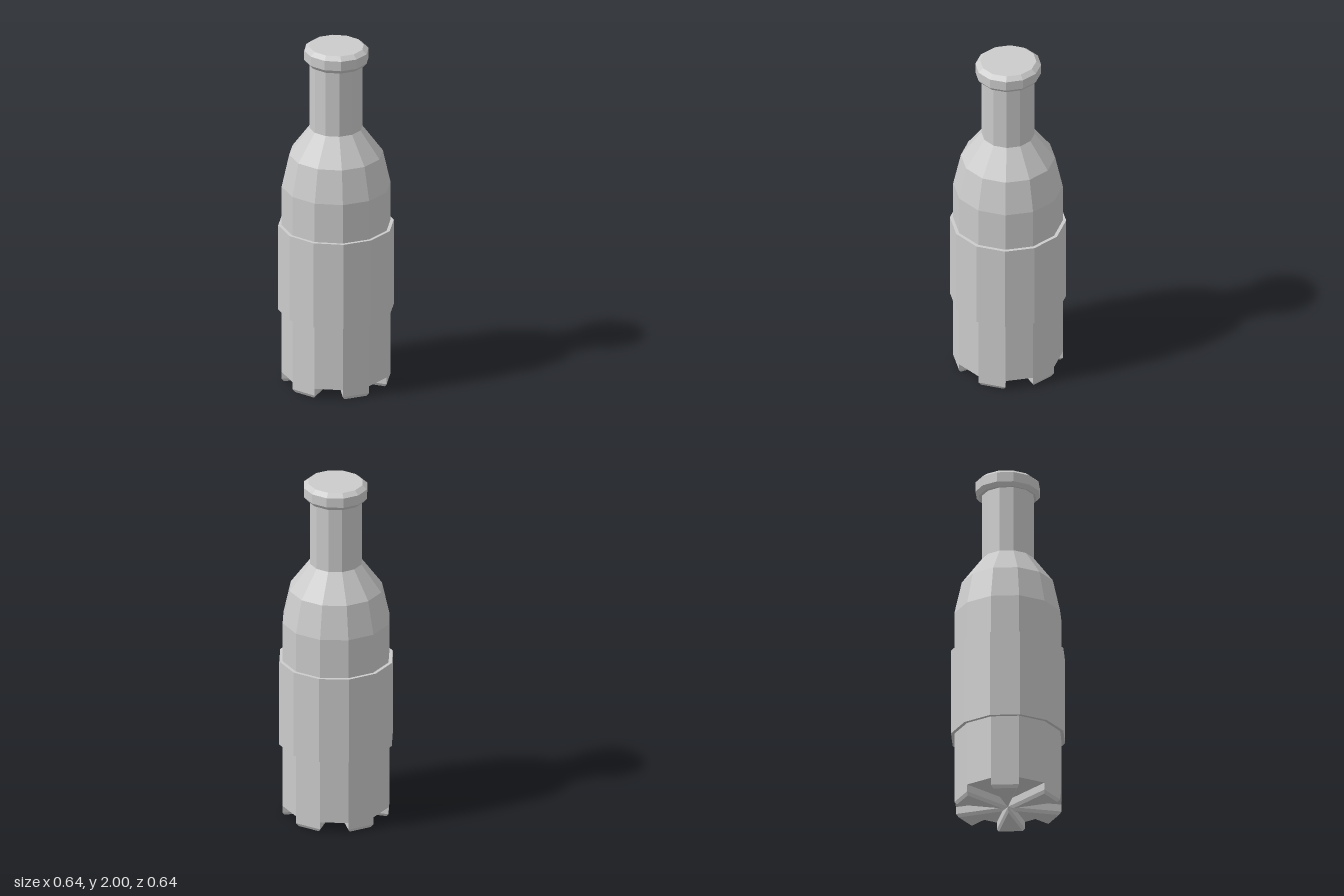
import * as THREE from 'three';
import { ConvexGeometry } from 'three/addons/geometries/ConvexGeometry.js';

const SIDES = 12;
const RADIUS = 0.303;
const material = new THREE.MeshStandardMaterial({ color: 0xcccccc, flatShading: true });

// Twelve-sided turned part from [radius, height] pairs, bottom to top
function turned(name, profile) {
  const points = profile.map(([r, y]) => new THREE.Vector2(r, y));
  const mesh = new THREE.Mesh(new THREE.LatheGeometry(points, SIDES), material);
  mesh.name = name;
  return mesh;
}

// Wedge-shaped foot with a bevelled underside, centred on +z
function footGeometry() {
  const half = Math.PI / SIDES;
  const inset = 0.01;
  const points = [];
  const wedge = (tip, rim, width, y) => points.push(
    new THREE.Vector3(0, y, tip),
    new THREE.Vector3(width, y, rim),
    new THREE.Vector3(-width, y, rim)
  );
  const rim = RADIUS * Math.cos(half);
  const tip = inset / Math.sin(half);
  wedge(0, rim, rim * Math.tan(half), 0.06);
  wedge(0, rim, rim * Math.tan(half), 0.018);
  wedge(tip, rim - inset, (rim - inset - tip) * Math.tan(half), 0);
  return new ConvexGeometry(points);
}

export function createModel() {
  const bottle = new THREE.Group();
  bottle.name = 'bottle';

  // Body, shoulders and neck
  bottle.add(turned('body', [
    [0, 0.06], [RADIUS, 0.06], [RADIUS, 1.17], [0.261, 1.36],
    [0.147, 1.515], [0.147, 1.91]
  ]));

  // Raised label band
  bottle.add(turned('label', [
    [0.3, 0.435], [0.322, 0.435], [0.322, 0.94], [0.3, 0.94]
  ]));

  // Bevelled cap, slightly narrower in depth
  const cap = turned('cap', [
    [0, 1.9], [0.165, 1.9], [0.184, 1.922], [0.184, 1.978], [0.157, 2], [0, 2]
  ]);
  cap.scale.z = 0.963;
  cap.position.z = -0.003;
  bottle.add(cap);

  // Six feet under every other side
  const feet = new THREE.Group();
  feet.name = 'feet';
  const geometry = footGeometry();
  for (let i = 0; i < SIDES; i += 2) {
    const foot = new THREE.Mesh(geometry, material);
    foot.name = 'foot';
    foot.rotation.y = ((i + 0.5) / SIDES) * Math.PI * 2;
    feet.add(foot);
  }
  bottle.add(feet);

  return bottle;
}
